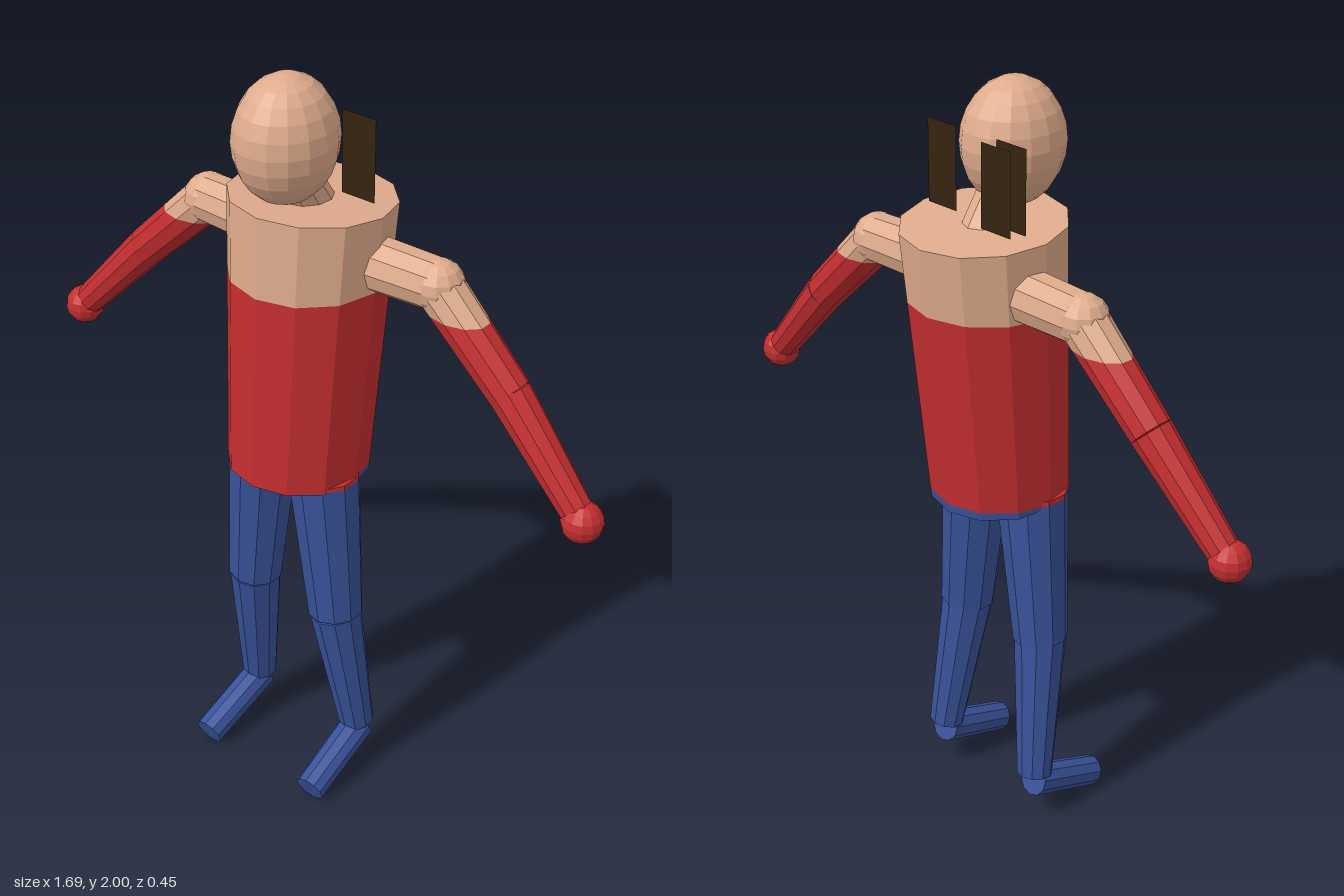
import * as THREE from 'three';

const material = (name, color) => {
  const m = new THREE.MeshStandardMaterial({ color });
  m.name = name;
  return m;
};

// Point where the edge a-b crosses the level y
const crossing = (a, b, y) => a.clone().lerp(b, (y - a.y) / (b.y - a.y));

// Keep the part of a polygon above (sign 1) or below (sign -1) a level
function clip(poly, y, sign) {
  const out = [];
  poly.forEach((a, i) => {
    const b = poly[(i + 1) % poly.length];
    const inA = (a.y - y) * sign >= 0, inB = (b.y - y) * sign >= 0;
    if (inA) out.push(a);
    if (inA !== inB) out.push(crossing(a, b, y));
  });
  return out;
}

// Faceted copy of a geometry, cut at the waist and chest into one group per colour
const LEVELS = [-1, 0.95, 1.475, 3];
function dress(geometry) {
  const src = geometry.index ? geometry.toNonIndexed() : geometry;
  const p = src.attributes.position;
  const data = [];
  const out = new THREE.BufferGeometry();
  for (let band = 0; band < 3; band++) {
    const start = data.length / 3;
    for (let i = 0; i < p.count; i += 3) {
      let poly = [0, 1, 2].map(k => new THREE.Vector3().fromBufferAttribute(p, i + k));
      poly = clip(clip(poly, LEVELS[band], 1), LEVELS[band + 1], -1);
      for (let k = 1; k + 1 < poly.length; k++) {
        for (const v of [poly[0], poly[k], poly[k + 1]]) data.push(v.x, v.y, v.z);
      }
    }
    const count = data.length / 3 - start;
    if (count) out.addGroup(start, count, band);
  }
  out.setAttribute('position', new THREE.Float32BufferAttribute(data, 3));
  out.computeVertexNormals();
  return out;
}

// Tapered cylinder running from point a to point b
function limb(a, b, ra, rb, sides = 10) {
  const from = new THREE.Vector3(...a), to = new THREE.Vector3(...b);
  const dir = to.clone().sub(from);
  const up = dir.y >= 0;
  const g = new THREE.CylinderGeometry(up ? rb : ra, up ? ra : rb, dir.length(), sides);
  const axis = dir.normalize().multiplyScalar(up ? 1 : -1);
  g.applyQuaternion(new THREE.Quaternion().setFromUnitVectors(new THREE.Vector3(0, 1, 0), axis));
  const mid = from.add(to).multiplyScalar(0.5);
  return g.translate(mid.x, mid.y, mid.z);
}

const ball = (c, r, w = 12, h = 8) => new THREE.SphereGeometry(r, w, h).translate(...c);

export function createModel() {
  const model = new THREE.Group();
  model.name = 'figure';
  const pants = material('blue trousers', 0x39529a);
  const shirt = material('red shirt', 0xc42e30);
  const skin = material('skin', 0xdfab8c);
  const hair = material('dark brown hair', 0x35230f);
  hair.side = THREE.DoubleSide;

  const add = (name, geometry) => {
    const mesh = new THREE.Mesh(dress(geometry), [pants, shirt, skin]);
    mesh.name = name;
    model.add(mesh);
  };

  // Leaning torso, neck and egg-shaped head
  add('torso', limb([0, 0.94, 0.04], [0, 1.667, -0.017], 0.18, 0.206, 12));
  add('neck', limb([0, 1.6, -0.04], [0, 1.78, 0.075], 0.06, 0.055));
  add('head', new THREE.SphereGeometry(1, 16, 12).scale(0.121, 0.157, 0.136).translate(0, 1.843, 0.08));

  // Arms and legs, mirrored
  for (const [side, s] of [['left', 1], ['right', -1]]) {
    const shoulder = [s * 0.35, 1.533, -0.043];
    const elbow = [s * 0.565, 1.325, -0.04];
    const wrist = [s * 0.79, 1.083, -0.022];
    add(side + 'Shoulder', limb([s * 0.1, 1.533, -0.033], shoulder, 0.07, 0.064));
    add(side + 'ShoulderJoint', ball(shoulder, 0.065));
    add(side + 'UpperArm', limb(shoulder, elbow, 0.06, 0.053));
    add(side + 'Forearm', limb(elbow, wrist, 0.053, 0.04));
    add(side + 'Hand', ball([s * 0.795, 1.077, -0.02], 0.052));

    const knee = [s * 0.136, 0.535, 0.054];
    const ankle = [s * 0.171, 0.14, 0.003];
    add(side + 'Thigh', limb([s * 0.097, 0.955, 0.057], knee, 0.092, 0.072));
    add(side + 'Shin', limb(knee, ankle, 0.069, 0.047));
    add(side + 'Foot', limb([s * 0.172, 0.118, -0.002], [s * 0.179, 0.04, 0.215], 0.044, 0.041));
  }

  // Thin hair strands hanging behind the head
  for (const [x, z] of [[0.114, -0.043], [-0.114, -0.04], [-0.102, -0.078]]) {
    const strand = new THREE.Mesh(new THREE.PlaneGeometry(0.096, 0.21), hair);
    strand.name = 'hairStrand';
    strand.position.set(x, 1.785, z);
    model.add(strand);
  }
  return model;
}
